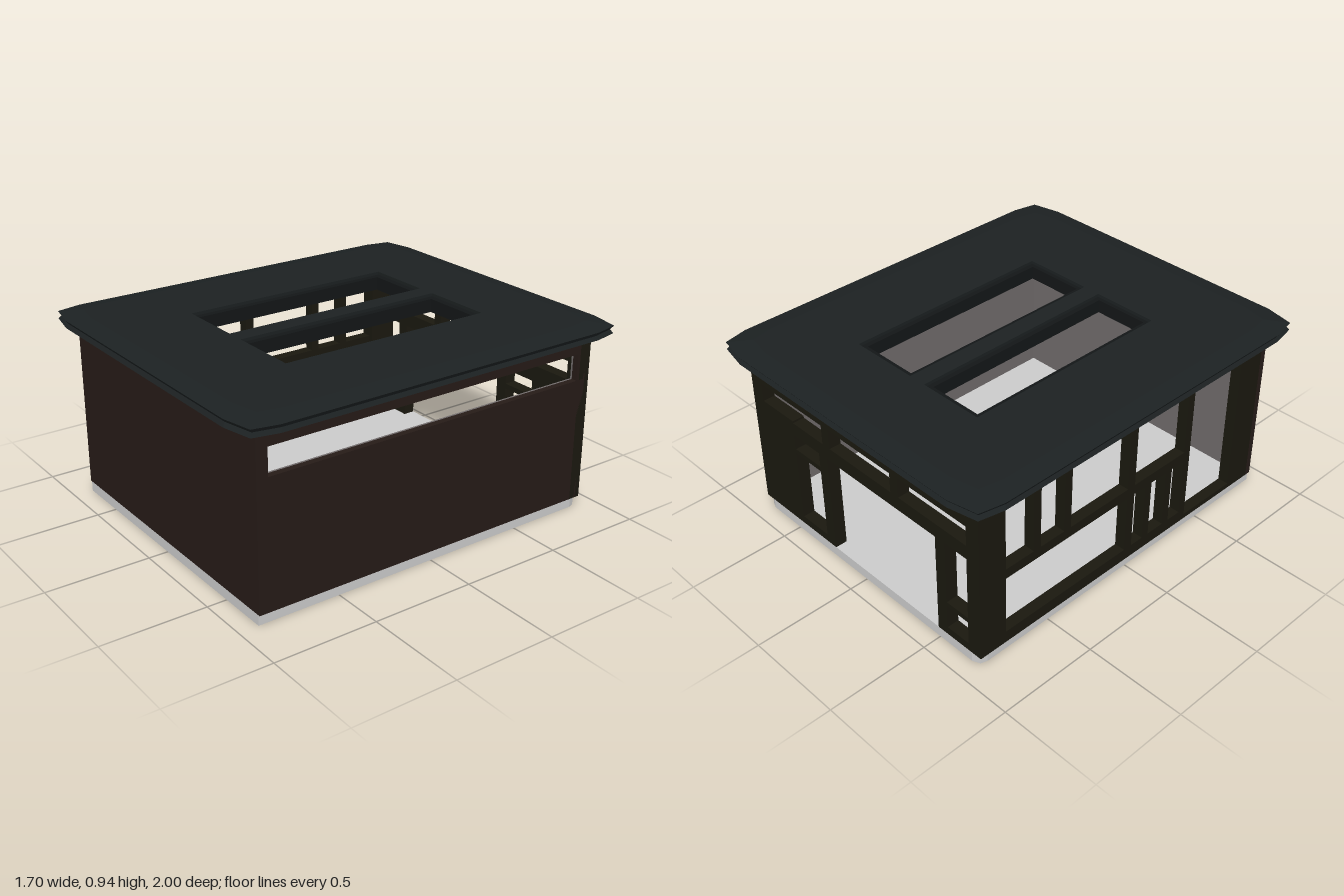
import * as THREE from 'three';

const paint = (color) => new THREE.MeshStandardMaterial({ color });
const WALL = paint(0x261b17), FRAME = paint(0x1a180f), LINER = paint(0x706b6b);
const ROOF = paint(0x1c2122), CURB = paint(0x131617), WOOD = paint(0xd07a25), GREY = paint(0xcccccc);
ROOF.flatShading = true;

// Box given by its limits on each axis
function box(parent, name, [x0, x1], [y0, y1], [z0, z1], material) {
  const mesh = new THREE.Mesh(new THREE.BoxGeometry(x1 - x0, y1 - y0, z1 - z0), material);
  mesh.position.set((x0 + x1) / 2, (y0 + y1) / 2, (z0 + z1) / 2);
  mesh.name = name;
  parent.add(mesh);
}

const path = (points) => points.map(([x, z]) => new THREE.Vector2(x, z));
const rect = ([x0, x1], [z0, z1]) => path([[x0, z0], [x1, z0], [x1, z1], [x0, z1]]);

// Horizontal plate from an (x, z) outline with holes
function plate(parent, name, outline, holes, y0, y1, material) {
  const shape = new THREE.Shape(outline);
  holes.forEach((h) => shape.holes.push(new THREE.Path(h)));
  const geo = new THREE.ExtrudeGeometry(shape, { depth: y1 - y0, bevelEnabled: false });
  geo.rotateX(Math.PI / 2).translate(0, y1, 0);
  const mesh = new THREE.Mesh(geo, material);
  mesh.name = name;
  parent.add(mesh);
}

// Roof outline with clipped corners, from +x round to +z
const quarter = [[0.85, 0.85], [0.825, 0.97], [0.68, 1]];
const mirrored = (sx, sz) => quarter.map(([x, z]) => [x * sx, z * sz]);
const outline = [
  ...mirrored(1, 1), ...mirrored(-1, 1).reverse(),
  ...mirrored(-1, -1), ...mirrored(1, -1).reverse(),
];

// Sloping roof edge: rings of [x scale, z scale, y], bottom to top
function roofEdge() {
  const rings = [[0.89, 0.91, 0.865], [1, 1, 0.882], [0.987, 0.987, 0.9], [1, 1, 0.918], [0.89, 0.91, 0.935]];
  const n = outline.length, pos = [], index = [];
  rings.forEach(([sx, sz, y]) => outline.forEach(([x, z]) => pos.push(x * sx, y, z * sz)));
  for (let r = 0; r < rings.length - 1; r++) {
    for (let i = 0; i < n; i++) {
      const a = r * n + i, b = r * n + (i + 1) % n;
      index.push(a, a + n, b + n, a, b + n, b);
    }
  }
  const geo = new THREE.BufferGeometry();
  geo.setAttribute('position', new THREE.Float32BufferAttribute(pos, 3));
  geo.setIndex(index);
  geo.computeVertexNormals();
  const mesh = new THREE.Mesh(geo, ROOF);
  mesh.name = 'roofEdge';
  return mesh;
}

function buildRoof() {
  const roof = new THREE.Group();
  roof.name = 'roof';
  const lights = [[-0.39, -0.06], [0.03, 0.38]], zr = [-0.57, 0.51];
  const holes = lights.map((xr) => rect(xr, zr));
  plate(roof, 'roofPlate', path(outline.map(([x, z]) => [x * 0.89, z * 0.91])), holes, 0.865, 0.935, ROOF);
  plate(roof, 'ceiling', rect([-0.72, 0.72], [-0.87, 0.87]), holes, 0.853, 0.865, WOOD);
  lights.forEach(([a, b]) => plate(roof, 'skylightFrame', rect([a, b], zr),
    [rect([a + 0.03, b - 0.025], [-0.54, 0.49])], 0.855, 0.92, CURB));
  roof.add(roofEdge());
  return roof;
}

// Solid front wall and left wall with a long high slot
function buildSolidWalls() {
  const walls = new THREE.Group();
  walls.name = 'solidWalls';
  const slot = [-0.83, 0.85];
  box(walls, 'frontWall', [-0.755, 0.755], [0.05, 0.866], [0.875, 0.905], WALL);
  box(walls, 'frontLining', [-0.72, 0.72], [0.05, 0.853], [0.865, 0.875], LINER);
  for (const [name, x, mat] of [['leftWall', [0.725, 0.755], WALL], ['leftLining', [0.715, 0.725], LINER]]) {
    box(walls, name, x, [0.05, 0.66], [-0.88, 0.875], mat);
    box(walls, name + 'Top', x, [0.79, 0.86], [-0.88, 0.875], mat);
    box(walls, name + 'SlotEnd', x, [0.66, 0.79], [slot[1], 0.875], mat);
    box(walls, name + 'SlotEnd', x, [0.66, 0.79], [-0.88, slot[0]], mat);
  }
  return walls;
}

// Right wall: posts and rails around open windows
function buildWindowWall() {
  const wall = new THREE.Group();
  wall.name = 'windowWall';
  const x = [-0.755, -0.7];
  const post = (z0, z1, y0, y1) => box(wall, 'windowPost', x, [y0, y1], [z0, z1], FRAME);
  const rail = (z0, z1, y0, y1) => box(wall, 'windowRail', x, [y0, y1], [z0, z1], FRAME);
  post(0.73, 0.875, 0.05, 0.866);
  post(-0.02, 0.025, 0.05, 0.866);
  post(0.36, 0.4, 0.05, 0.866);
  post(-0.6, -0.56, 0.45, 0.866);
  post(-0.42, -0.38, 0.45, 0.866);
  for (const z of [0.12, 0.26]) post(z - 0.02, z + 0.02, 0.05, 0.45);
  rail(-0.83, 0.73, 0.8, 0.866);
  rail(-0.83, 0.38, 0.41, 0.46);
  rail(-0.83, 0.38, 0.05, 0.11);
  rail(0.38, 0.73, 0.05, 0.075);
  return wall;
}

// Back wall: doorway with sidelights, header and high window band
function buildDoorWall() {
  const wall = new THREE.Group();
  wall.name = 'doorWall';
  const z = [-0.905, -0.845];
  const part = (name, x, y) => box(wall, name, x, y, z, FRAME);
  part('sidePanel', [0.46, 0.755], [0.05, 0.64]);
  part('cornerPost', [0.68, 0.755], [0.64, 0.866]);
  box(wall, 'cornerPost', [-0.755, -0.68], [0.05, 0.866], [-0.905, -0.76], FRAME);
  part('doorHeader', [-0.68, 0.46], [0.56, 0.63]);
  part('windowBandRail', [-0.68, 0.68], [0.73, 0.78]);
  part('topBeam', [-0.68, 0.68], [0.83, 0.866]);
  for (const x of [0.22, -0.24]) part('windowBandPost', [x - 0.025, x + 0.025], [0.63, 0.73]);
  part('doorJamb', [0.22, 0.28], [0.05, 0.56]);
  part('doorJamb', [-0.55, -0.49], [0.05, 0.56]);
  part('sidelightSill', [0.28, 0.46], [0.05, 0.09]);
  part('sidelightSill', [-0.68, -0.55], [0.05, 0.09]);
  part('sidelightBar', [0.28, 0.46], [0.46, 0.485]);
  part('sidelightBar', [-0.68, -0.55], [0.21, 0.235]);
  return wall;
}

export function createModel() {
  const model = new THREE.Group();
  model.name = 'pavilion';
  // Floor slab with clipped back corners
  plate(model, 'floorSlab', path([[-0.745, 0.905], [-0.745, -0.86], [-0.735, -0.89], [-0.7, -0.905],
    [0.7, -0.905], [0.735, -0.89], [0.745, -0.86], [0.745, 0.905]]), [], 0, 0.05, GREY);
  model.add(buildSolidWalls(), buildWindowWall(), buildDoorWall(), buildRoof());
  return model;
}
